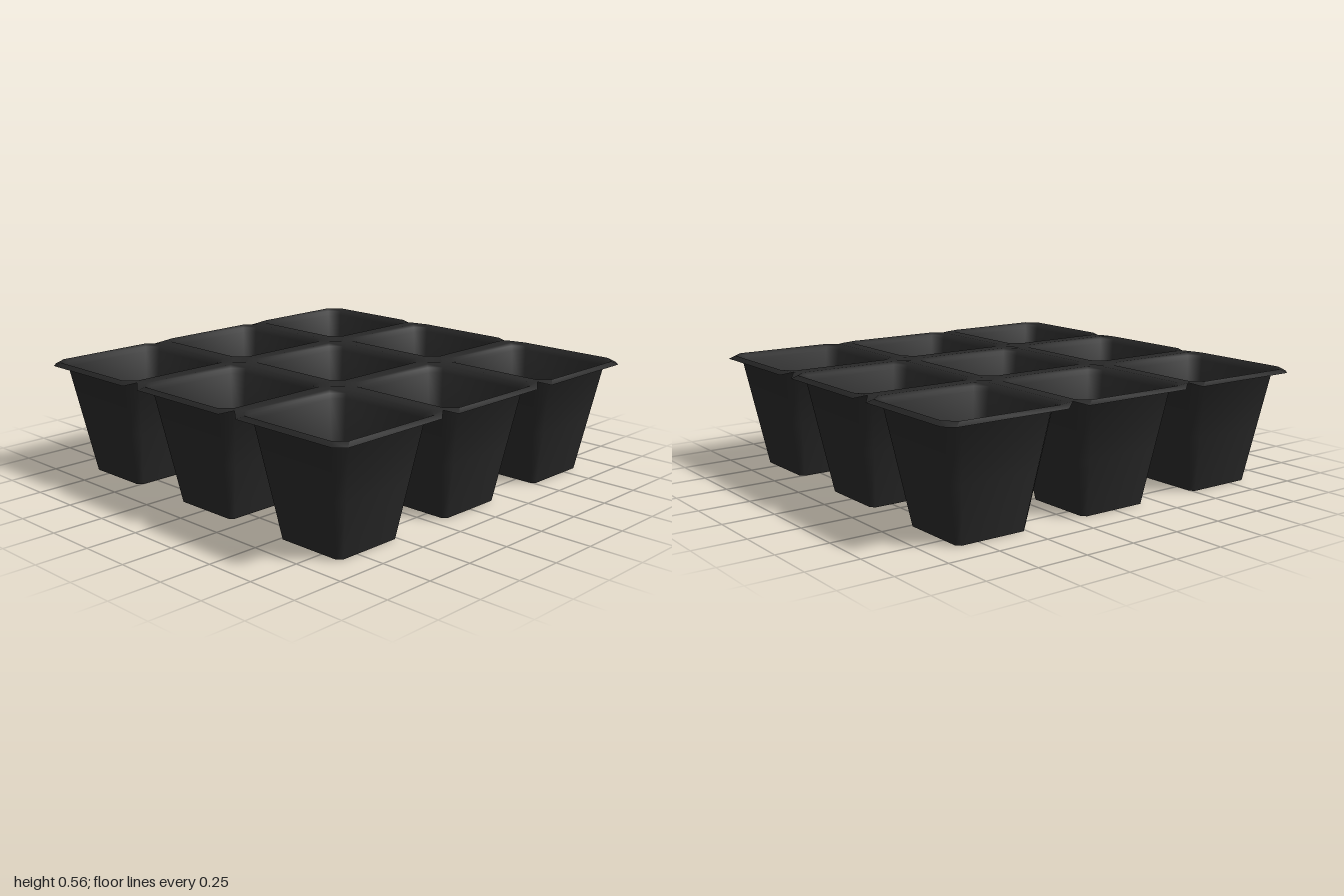
import * as THREE from 'three';
import { toCreasedNormals } from 'three/addons/utils/BufferGeometryUtils.js';

const PITCH = 0.675;
const EDGE = PITCH / 2;
const NOTCH = 0.055;

// Square ring with chamfered corners: eight [x, z] points, counter-clockwise in x/z
function ringPoints(half, chamfer) {
  const inner = half - chamfer;
  return [
    [half, -inner], [half, inner], [inner, half], [-inner, half],
    [-half, inner], [-half, -inner], [-inner, -half], [inner, -half],
  ];
}

// Skin a list of rings, each a list of [x, y, z] points
function loft(rings) {
  const n = rings[0].length;
  const index = [];
  for (let r = 0; r < rings.length - 1; r++) {
    for (let i = 0; i < n; i++) {
      const a = r * n + i, b = r * n + (i + 1) % n;
      index.push(a, a + n, b, b, a + n, b + n);
    }
  }
  const geometry = new THREE.BufferGeometry();
  geometry.setAttribute('position', new THREE.Float32BufferAttribute(rings.flat(2), 3));
  geometry.setIndex(index);
  return toCreasedNormals(geometry, 0.9);
}

// One pot: floor with drain hole, tapered walls, rounded lip and rim
function cellGeometry(cx, cz, holeRadius) {
  const profile = [
    // half width, chamfer, height
    [holeRadius, holeRadius * 0.586, 0.01],
    [0.07, 0.041, 0.004],
    [0.18, 0.02, 0],
    [0.229, 0.036, 0.27],
    [0.275, 0.05, 0.525],
    [0.286, 0.052, 0.546],
    [0.304, 0.052, 0.558],
    [EDGE, NOTCH, 0.558],
  ];
  const rings = profile.map(([half, chamfer, y], k) =>
    ringPoints(half, chamfer).map(([px, pz]) => {
      const x = THREE.MathUtils.clamp(cx + px, -1, 1);
      const z = THREE.MathUtils.clamp(cz + pz, -1, 1);
      // The free outer edge of the tray droops a little
      const outer = Math.max(Math.abs(x), Math.abs(z)) > 0.99;
      return [x, k === profile.length - 1 && outer ? 0.54 : y, z];
    }));
  return loft(rings);
}

// Shallow diamond that closes the gap where four rims meet
function crossingGeometry() {
  const outline = [[NOTCH, 0], [0, NOTCH], [-NOTCH, 0], [0, -NOTCH]];
  return loft([
    outline.map(() => [0, 0.548, 0]),
    outline.map(([x, z]) => [x, 0.558, z]),
  ]);
}

export function createModel() {
  const plastic = new THREE.MeshStandardMaterial({ color: 0x272727, side: THREE.DoubleSide });
  plastic.name = 'black plastic';

  const tray = new THREE.Group();
  tray.name = 'seedlingTray';

  // Nine pots; three of them have closed drain holes
  const closed = ['-1,-1', '1,-1', '1,0'];
  for (let row = -1; row <= 1; row++) {
    for (let column = -1; column <= 1; column++) {
      const radius = closed.includes(`${column},${row}`) ? 0.001 : 0.033;
      const pot = new THREE.Mesh(cellGeometry(column * PITCH, row * PITCH, radius), plastic);
      pot.name = 'pot';
      tray.add(pot);
    }
  }

  // Four rim crossings
  const crossing = crossingGeometry();
  for (const sx of [-1, 1]) {
    for (const sz of [-1, 1]) {
      const web = new THREE.Mesh(crossing, plastic);
      web.name = 'rimCrossing';
      web.position.set(sx * EDGE, 0, sz * EDGE);
      tray.add(web);
    }
  }
  return tray;
}
